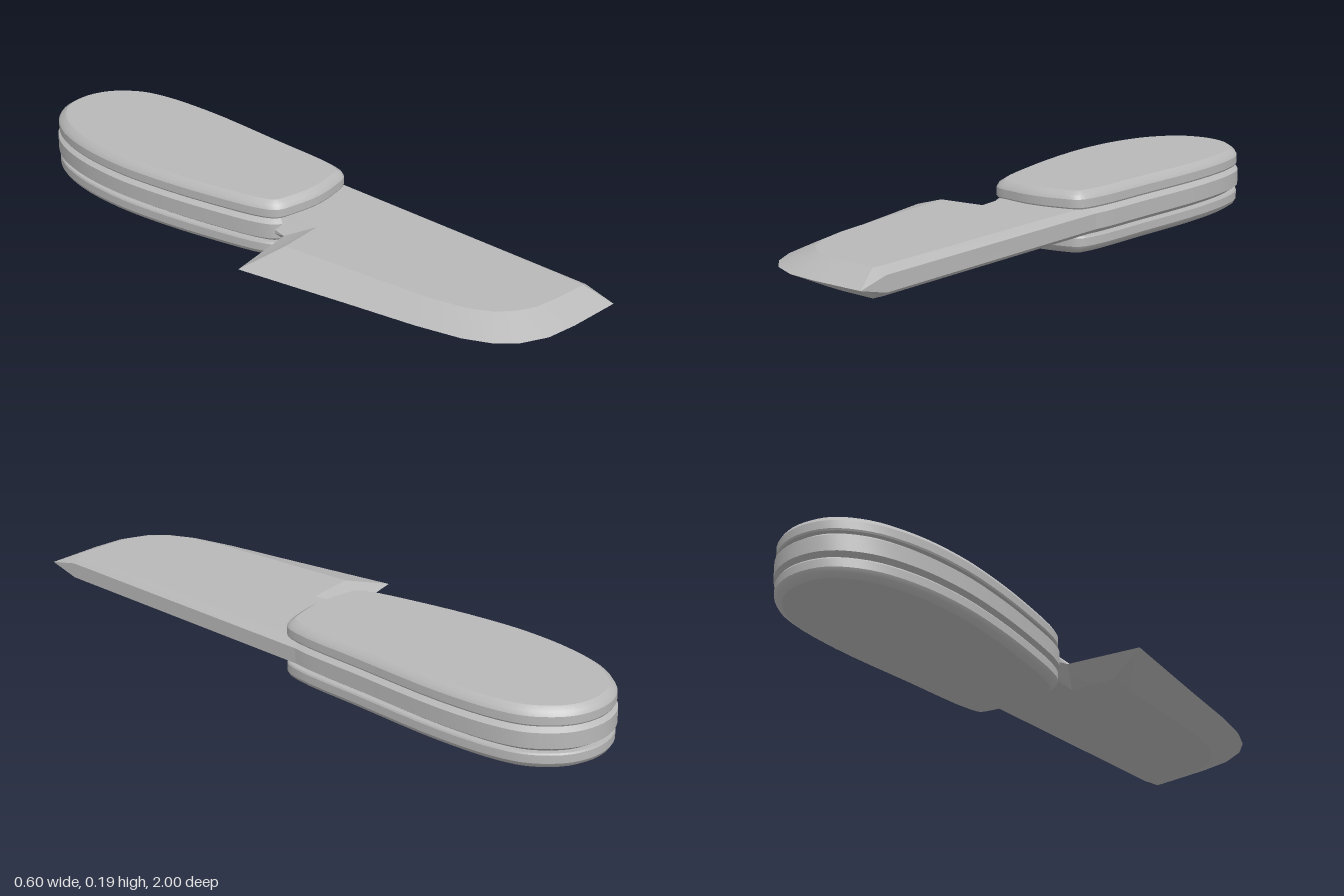
import * as THREE from 'three';
import { toCreasedNormals } from 'three/addons/utils/BufferGeometryUtils.js';

const MID = 0.094; // height of the blade's centre plane

// Closed solid from horizontal rings of [x, y, z] points, listed bottom to top.
function loft(rings, crease) {
  const pos = [];
  const tri = (a, b, c) => {
    const same = (p, q) => p.every((v, i) => v === q[i]);
    if (!same(a, b) && !same(b, c) && !same(a, c)) pos.push(...a, ...b, ...c);
  };
  const cap = (ring, up) => {
    const flat = ring.map(p => new THREE.Vector2(p[0], p[2]));
    for (const [i, j, k] of THREE.ShapeUtils.triangulateShape(flat, [])) {
      const [a, b, c] = [ring[i], ring[j], ring[k]];
      const ny = (b[2] - a[2]) * (c[0] - a[0]) - (b[0] - a[0]) * (c[2] - a[2]);
      if (ny * up > 0) tri(a, b, c);
      else tri(a, c, b);
    }
  };
  for (let r = 0; r < rings.length - 1; r++) {
    const lo = rings[r], hi = rings[r + 1];
    lo.forEach((a, j) => {
      const k = (j + 1) % lo.length;
      tri(a, hi[j], hi[k]);
      tri(a, hi[k], lo[k]);
    });
  }
  cap(rings[0], -1);
  cap(rings[rings.length - 1], 1);
  const g = new THREE.BufferGeometry();
  g.setAttribute('position', new THREE.Float32BufferAttribute(pos, 3));
  return toCreasedNormals(g, crease);
}

// Handle outline in plan (x, z), smoothed by a closed curve.
const handleCurve = new THREE.CatmullRomCurve3([
  [0.07, -1], [0.17, -0.97], [0.25, -0.885], [0.283, -0.79], [0.3, -0.6],
  [0.29, -0.3], [0.277, -0.05], [0.255, 0.008], [0.19, 0.03], [0.1, 0.04],
  [0.02, 0.03], [-0.05, 0.01], [-0.078, -0.03], [-0.125, -0.22], [-0.157, -0.42],
  [-0.168, -0.58], [-0.154, -0.75], [-0.11, -0.885], [-0.03, -0.975],
].map(([x, z]) => new THREE.Vector3(x, 0, z)), true, 'centripetal');
const outline = handleCurve.getPoints(76).slice(0, -1);

// One ring of the handle outline, moved inward and set at a height.
function handleRing(inset, y) {
  const n = outline.length;
  return outline.map((p, i) => {
    const t = outline[(i + 1) % n].clone().sub(outline[(i + n - 1) % n]).normalize();
    return [p.x - t.z * inset, y, p.z + t.x * inset];
  });
}

// Blade corners: centre plane x, z, half thickness there, then x, z on the flat face.
const bladePoints = [
  [0.277, -0.1, 0.024, 0.25, -0.1],
  [0.275, 0.9, 0.024, 0.245, 0.88],
  [0.272, 1.0, 0, 0.24, 0.915],
  [0.1, 0.99, 0, 0.12, 0.903],
  [0.0, 0.975, 0, 0.05, 0.89],
  [-0.08, 0.935, 0, 0.0, 0.865],
  [-0.13, 0.88, 0, -0.05, 0.82],
  [-0.167, 0.8, 0, -0.085, 0.75],
  [-0.2, 0.66, 0, -0.11, 0.64],
  [-0.235, 0.45, 0, -0.13, 0.45],
  [-0.27, 0.25, 0, -0.147, 0.27],
  [-0.3, 0.08, 0, -0.16, 0.138],
  [-0.06, 0.04, 0, -0.01, 0.128],
  [-0.055, -0.1, 0.024, -0.035, -0.1],
];

export function createModel() {
  const model = new THREE.Group();
  model.name = 'knife';
  const grey = new THREE.MeshStandardMaterial({ color: 0xb8b8b8 });
  grey.name = 'grey';

  const add = (name, geometry) => {
    const mesh = new THREE.Mesh(geometry, grey);
    mesh.name = name;
    model.add(mesh);
  };

  // Blade: flat cheeks, ground cutting edge, bevelled heel and spine
  const T = 0.042;
  const flatRing = y => bladePoints.map(p => [p[3], y, p[4]]);
  const edgeRing = s => bladePoints.map(p => [p[0], MID + s * p[2], p[1]]);
  add('blade', loft([flatRing(MID - T), edgeRing(-1), edgeRing(1), flatRing(MID + T)], 0.25));

  // Tang: chamfered core of the handle
  add('tang', loft([
    handleRing(0.026, MID - T), handleRing(0, MID - 0.024),
    handleRing(0, MID + 0.024), handleRing(0.026, MID + T),
  ], 0.5));

  // Two rounded grip plates, mirrored about the centre plane
  const profile = [[0.007, 0.041], [0.004, 0.046], [0.004, 0.071], [0.011, 0.083], [0.028, 0.094]];
  const upper = profile.map(([inset, h]) => handleRing(inset, MID + h));
  const lower = profile.map(([inset, h]) => handleRing(inset, MID - h)).reverse();
  add('upperGrip', loft(upper, 0.5));
  add('lowerGrip', loft(lower, 0.5));

  return model;
}
